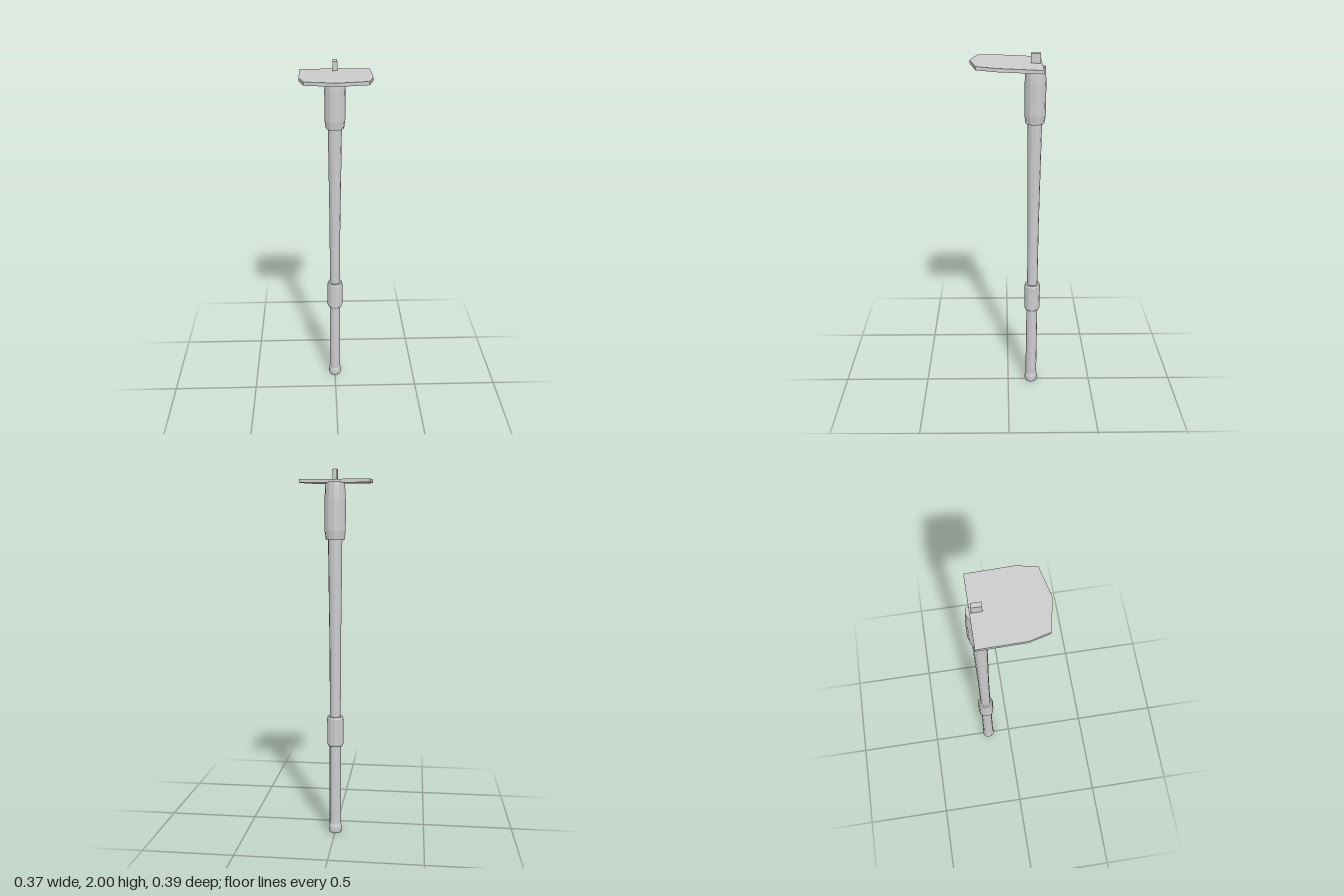
import * as THREE from 'three';

export function createModel() {
  const group = new THREE.Group();
  const grey = new THREE.MeshStandardMaterial({ color: 0xcccccc, flatShading: true });
  const axisZ = -0.141; // the handle stands behind the centre

  const add = (name, geometry, x = 0, y = 0, z = 0) => {
    const mesh = new THREE.Mesh(geometry, grey);
    mesh.name = name;
    mesh.position.set(x, y, z);
    group.add(mesh);
    return mesh;
  };

  // Twelve-sided turned part from [radius, height] pairs, listed bottom to top
  const turned = (name, profile) =>
    add(name, new THREE.LatheGeometry(profile.map(([r, y]) => new THREE.Vector2(r, y)), 12), 0, 0, axisZ);

  // Handle, slightly tapered and thicker near the head, with an end knob
  turned('handle', [[0, 0], [0.033, 0], [0.038, 0.012], [0.038, 0.036], [0.033, 0.052],
    [0.032, 0.52], [0.03, 0.68], [0.031, 1.05], [0.036, 1.45], [0.038, 1.66], [0, 1.66]]);

  // Grip ring with bevelled ends
  turned('collar', [[0.03, 0.51], [0.041, 0.51], [0.045, 0.52], [0.045, 0.665], [0.041, 0.677], [0.03, 0.677]]);

  // Socket holding the head
  turned('socket', [[0.03, 1.638], [0.05, 1.638], [0.056, 1.685], [0.056, 1.85], [0.051, 1.934], [0, 1.934]]);

  // Pointed blade, rising slightly towards the front
  const outline = new THREE.Shape([
    [-0.185, -0.174], [0.185, -0.174], [0.185, 0.061], [0.16, 0.161],
    [0, 0.195], [-0.16, 0.161], [-0.185, 0.061],
  ].map(([x, z]) => new THREE.Vector2(x, z)));
  const bladeGeometry = new THREE.ExtrudeGeometry(outline, { depth: 0.018, bevelEnabled: false });
  bladeGeometry.rotateX(Math.PI / 2);
  const p = bladeGeometry.attributes.position;
  for (let i = 0; i < p.count; i++) p.setY(i, p.getY(i) + 0.045 * (p.getZ(i) + 0.174));
  bladeGeometry.computeVertexNormals();
  add('blade', bladeGeometry, 0, 1.949, 0);

  // Tang standing above the blade
  add('tang', new THREE.BoxGeometry(0.024, 0.066, 0.05), 0, 1.967, -0.141);

  return group;
}
